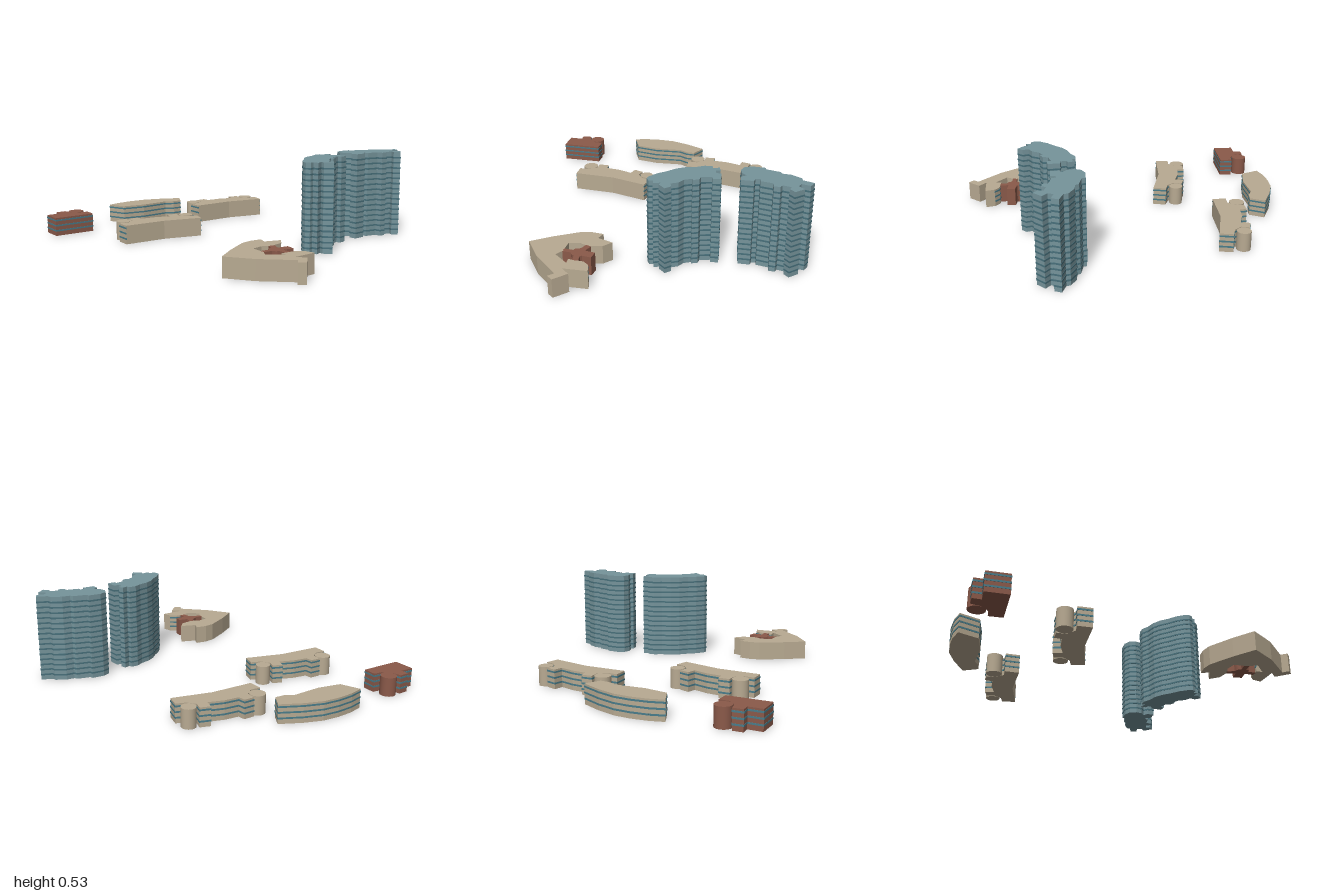
import * as THREE from 'three';
import { mergeGeometries } from 'three/addons/utils/BufferGeometryUtils.js';

const LOW = 0.115, TALL = 0.53, FLOOR = 0.033;
const mat = (color) => new THREE.MeshStandardMaterial({ color });
const beige = mat(0xb8aa92), brown = mat(0x8b5a4a), teal = mat(0x76949b);
const glass = mat(0x4a7c8a), glassDark = mat(0x48707b);

function mesh(geometry, material, name) {
  const m = new THREE.Mesh(geometry, material);
  m.name = name;
  return m;
}

// Plan outline of [x, z] points raised to a height
function block(plan, height) {
  const shape = new THREE.Shape(plan.map(([x, z]) => new THREE.Vector2(x, -z)));
  return new THREE.ExtrudeGeometry(shape, { depth: height, bevelEnabled: false }).rotateX(-Math.PI / 2);
}

// Thin window bands along the chosen edges of a plan
function bands(plan, count, hasBand = () => true) {
  const parts = [];
  plan.forEach(([x, z], i) => {
    if (!hasBand(i)) return;
    const [x2, z2] = plan[(i + 1) % plan.length];
    const dx = x2 - x, dz = z2 - z;
    for (let f = 1; f <= count; f++) {
      parts.push(new THREE.BoxGeometry(Math.hypot(dx, dz) + 0.002, 0.01, 0.004)
        .rotateY(-Math.atan2(dz, dx))
        .translate((x + x2) / 2, f * FLOOR, (z + z2) / 2));
    }
  });
  return mergeGeometries(parts);
}

// Plain round stair turret
function turret(x, z, r, material) {
  return mesh(new THREE.CylinderGeometry(r, r, LOW, 32).translate(x, LOW / 2, z), material, 'stairTurret');
}

function building(name, plan, height, material, bandMaterial, hasBand) {
  const g = new THREE.Group();
  g.name = name;
  const floors = Math.floor((height - 0.012) / FLOOR);
  g.add(mesh(block(plan, height), material, 'walls'));
  g.add(mesh(bands(plan, floors, hasBand), bandMaterial, 'windowBands'));
  return g;
}

const leftTower = [
  [0, .515], [.04, .465], [.085, .43], [.13, .385], [.18, .355], [.24, .34], [.285, .315], [.33, .315],
  [.335, .34], [.37, .325], [.38, .36], [.355, .37], [.36, .40], [.39, .405], [.395, .475], [.35, .48],
  [.345, .455], [.285, .47], [.28, .50], [.245, .515], [.24, .50], [.20, .52], [.175, .56], [.135, .58],
  [.145, .615], [.115, .645], [.075, .605], [.08, .58], [.04, .595], [.035, .56], [.01, .565], [-.005, .54]];

const rightTower = [
  [.505, .295], [.55, .275], [.625, .28], [.63, .30], [.71, .32], [.72, .34], [.77, .345], [.83, .38],
  [.835, .405], [.90, .43], [.88, .47], [.83, .455], [.815, .485], [.85, .515], [.80, .56], [.77, .53],
  [.78, .505], [.73, .49], [.72, .515], [.685, .51], [.68, .475], [.61, .46], [.605, .435], [.58, .44],
  [.575, .465], [.505, .465], [.50, .42], [.53, .40], [.50, .375], [.49, .335]];

const wing = [
  [.04, -.645], [.10, -.64], [.15, -.68], [.15, -.735], [.215, -.735], [.22, -.69], [.31, -.68], [.40, -.65],
  [.415, -.705], [.475, -.685], [.46, -.635], [.495, -.59], [.555, -.57], [.535, -.49], [.30, -.55], [.04, -.56]];

const crescent = [
  [-.415, -.975], [-.33, -.995], [-.23, -1], [-.13, -.99], [-.02, -.95], [.105, -.885],
  [.055, -.80], [0, -.805], [-.05, -.835], [-.23, -.83], [-.37, -.86]];

const annex = [
  [-.905, -.915], [-.82, -.91], [-.82, -.96], [-.76, -.96], [-.75, -.905], [-.705, -.86],
  [-.65, -.855], [-.655, -.775], [-.91, -.785]];

const court = [
  [-.68, .635], [-.56, .555], [-.415, .475], [-.35, .465], [-.28, .475], [-.30, .525], [-.205, .56], [-.25, .61],
  [-.33, .625], [-.385, .60], [-.45, .61], [-.455, .70], [-.485, .745], [-.40, .82], [-.40, .78], [-.31, .79],
  [-.275, .82], [-.26, .88], [-.405, .88], [-.355, .925], [-.425, .995], [-.46, .965], [-.43, .935], [-.58, .785]];

// Long low building with two turrets at the back; its front is plain
function wingBuilding(name) {
  const g = building(name, wing, LOW, beige, glass, (i) => i !== 13 && i !== 14);
  g.add(turret(.10, -.70, .047, beige), turret(.515, -.64, .043, beige));
  return g;
}

// Small hub with four arms inside the courtyard: [end x, end z, width]
function courtyardHub() {
  const g = new THREE.Group();
  g.name = 'courtyardHub';
  const cx = -.365, cz = .70;
  g.add(mesh(new THREE.CylinderGeometry(.045, .045, LOW, 8).translate(cx, LOW / 2, cz), brown, 'hub'));
  for (const [x, z, w] of [[-.457, .69, .03], [-.33, .62, .035], [-.277, .715, .055], [-.36, .787, .035]]) {
    const dx = x - cx, dz = z - cz;
    const arm = new THREE.BoxGeometry(Math.hypot(dx, dz), LOW, w)
      .rotateY(-Math.atan2(dz, dx)).translate((x + cx) / 2, LOW / 2, (z + cz) / 2);
    g.add(mesh(arm, brown, 'hubArm'));
  }
  return g;
}

export function createModel() {
  const model = new THREE.Group();
  model.name = 'buildingComplex';

  // Curved high-rise towers
  model.add(building('innerTower', leftTower, TALL, teal, glassDark));
  model.add(building('outerTower', rightTower, TALL, teal, glassDark));

  // Twin turreted wings, the second moved and turned slightly
  model.add(wingBuilding('eastWing'));
  const west = wingBuilding('westWing');
  const turn = -0.045, px = .10, pz = -.70;
  west.rotation.y = turn;
  west.position.set(
    -.615 - (px * Math.cos(turn) + pz * Math.sin(turn)), 0,
    -.445 - (-px * Math.sin(turn) + pz * Math.cos(turn)));
  model.add(west);

  // Low crescent and brown annex at the back
  model.add(building('crescentBuilding', crescent, LOW, beige, glass));
  const annexBuilding = building('annex', annex, LOW, brown, glass);
  annexBuilding.add(turret(-.70, -.92, .048, brown));
  model.add(annexBuilding);

  // Courtyard building around the hub
  model.add(building('courtyardBuilding', court, LOW, beige, glass, (i) => i === 14 || i === 15));
  model.add(courtyardHub());
  return model;
}
